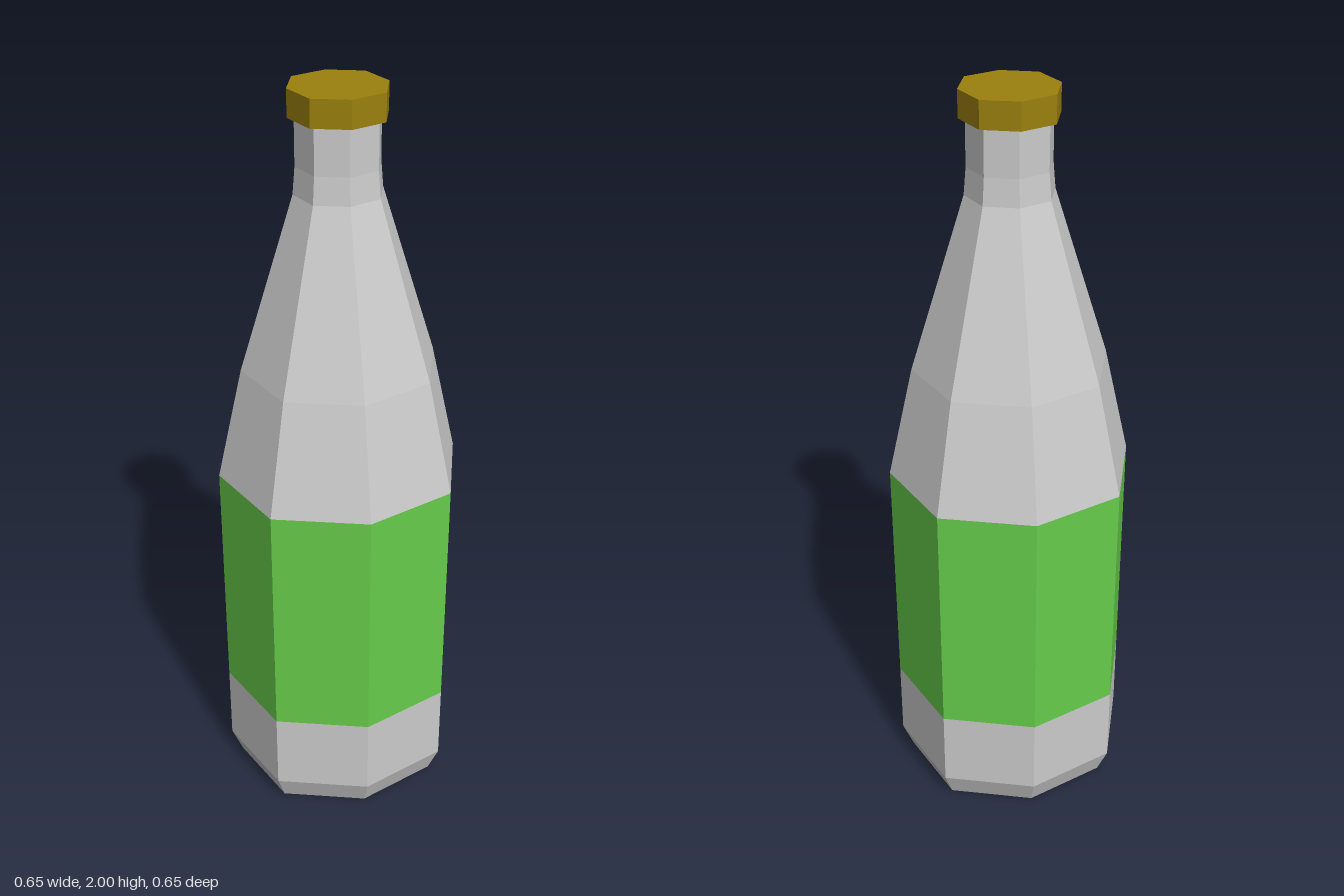
import * as THREE from 'three';

// Eight-sided turned part; profile is [radius, height] from bottom to top
function turned(name, profile, color) {
  const geo = new THREE.LatheGeometry(profile.map(([r, y]) => new THREE.Vector2(r, y)), 8);
  const pos = geo.attributes.position;
  // The diagonal corners sit slightly further out than the axis corners
  for (let i = 0; i < pos.count; i++) {
    const x = pos.getX(i), z = pos.getZ(i);
    if (Math.abs(x) > 1e-4 && Math.abs(z) > 1e-4) {
      pos.setX(i, x * 1.038);
      pos.setZ(i, z * 1.038);
    }
  }
  geo.computeVertexNormals();
  const mesh = new THREE.Mesh(geo, new THREE.MeshStandardMaterial({ color, flatShading: true }));
  mesh.name = name;
  return mesh;
}

export function createModel() {
  const group = new THREE.Group();
  group.name = 'bottle';

  // Closed, bevelled base up to the label
  const base = turned('base', [[0, 0], [0.297, 0], [0.327, 0.075], [0.327, 0.3]], 0xcccccc);
  // Label band, flush with the glass
  const label = turned('label', [[0.327, 0.3], [0.327, 0.975]], 0x66cc4a);
  // Tapering shoulder and straight neck
  const neck = turned('shoulderAndNeck', [
    [0.327, 0.975], [0.258, 1.28], [0.186, 1.51], [0.114, 1.74], [0.108, 1.81], [0.108, 1.935],
  ], 0xcccccc);
  // Solid cap overhanging the neck
  const cap = turned('cap', [[0, 1.93], [0.125, 1.93], [0.125, 2], [0, 2]], 0x9b800e);

  group.add(base, label, neck, cap);
  return group;
}
